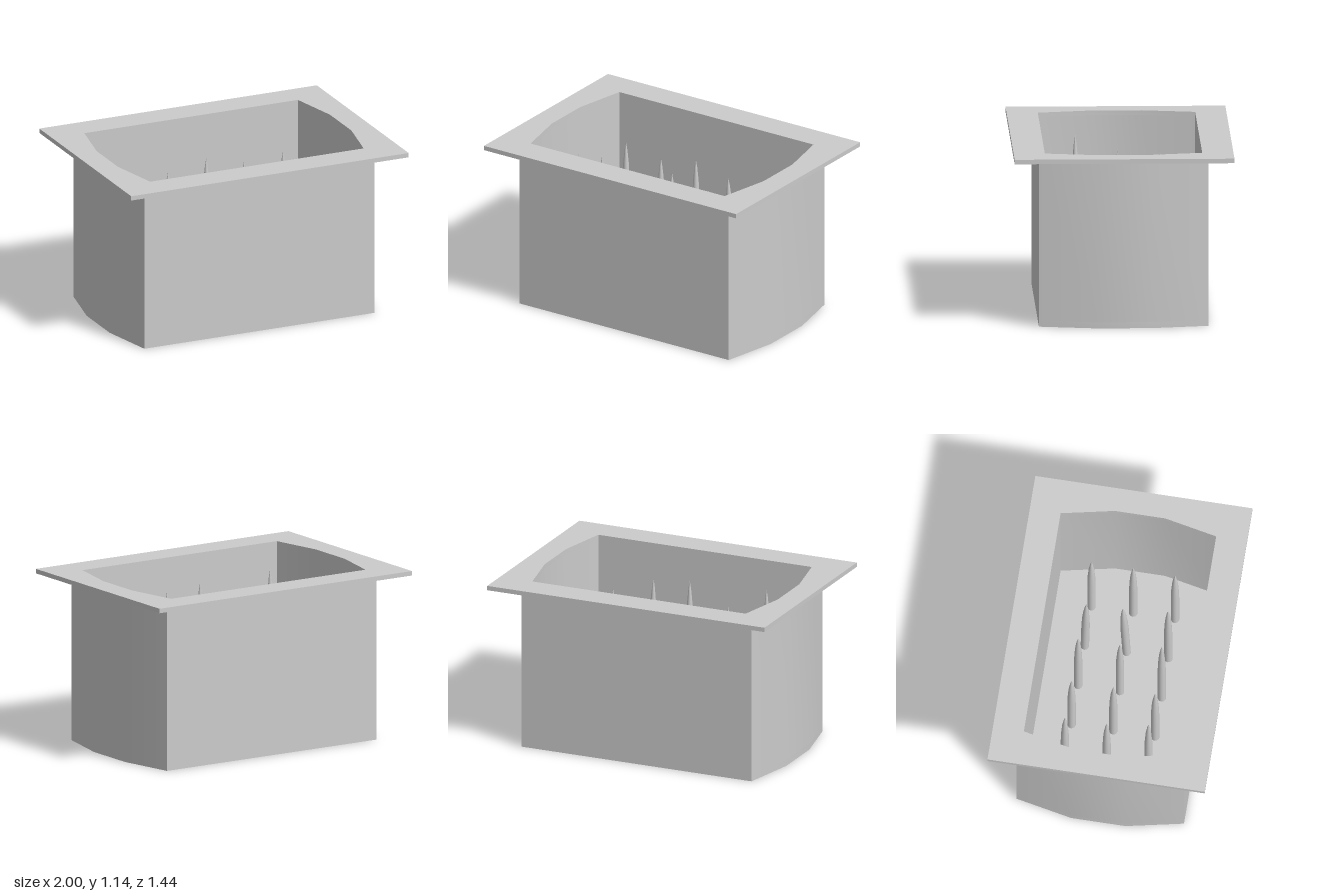
import * as THREE from 'three';
import { toCreasedNormals } from 'three/addons/utils/BufferGeometryUtils.js';

const material = new THREE.MeshStandardMaterial({ color: 0xcccccc });
const FLOOR = 0.04, WALL_TOP = 1.11, RIM_TOP = 1.14, INNER = 0.927;

// Box outline with faceted, bowed ends
function outline(scale) {
  const pts = [[0.83, -0.556], [0.907, -0.18], [0.907, 0.18], [0.83, 0.556],
    [-0.83, 0.556], [-0.907, 0.18], [-0.907, -0.18], [-0.83, -0.556]];
  return pts.map(([x, z]) => new THREE.Vector2(x * scale, z * scale));
}

// Horizontal slab between two heights, with an optional opening
function slab(name, points, hole, y0, y1) {
  const shape = new THREE.Shape(points);
  if (hole) shape.holes.push(new THREE.Path(hole));
  const geo = new THREE.ExtrudeGeometry(shape, { depth: y1 - y0, bevelEnabled: false });
  geo.rotateX(-Math.PI / 2).translate(0, y0, 0);
  const mesh = new THREE.Mesh(toCreasedNormals(geo, 0.5), material);
  mesh.name = name;
  return mesh;
}

// Slender pointed spike of unit height
function spikeGeometry() {
  const profile = [[0.028, 0], [0.028, 0.5], [0.025, 0.68], [0.018, 0.84], [0.009, 0.94], [0, 1]];
  return new THREE.LatheGeometry(profile.map(([r, y]) => new THREE.Vector2(r, y)), 12);
}

export function createModel() {
  const model = new THREE.Group();
  model.name = 'spikePit';

  const rim = [[1, -0.72], [1, 0.72], [-1, 0.72], [-1, -0.72]].map(([x, z]) => new THREE.Vector2(x, z));
  model.add(
    slab('floor', outline(1), null, 0, FLOOR),
    slab('walls', outline(1), outline(INNER), FLOOR, WALL_TOP),
    slab('rim', rim, outline(INNER), WALL_TOP, RIM_TOP),
  );

  // Rows of spikes from back to front: tip heights, left to right
  const tips = [
    [0.92, 0.87, 0.93, 0.87, 0.9],
    [0.925, 0.865, 0.935, 0.875, 0.9],
    [1.03, 0.865, 1.01, 0.985, 0.875],
  ];
  // Sideways drift of the tips in the one leaning column
  const lean = [[-0.012, 0.012], [-0.004, -0.024], [-0.016, 0]];
  const geo = spikeGeometry();
  const spikes = new THREE.Group();
  spikes.name = 'spikes';
  tips.forEach((row, r) => row.forEach((tip, c) => {
    const spike = new THREE.Mesh(geo, material);
    const height = tip - FLOOR;
    spike.name = 'spike';
    spike.position.set((c - 2) * 0.277, FLOOR, (r - 1) * 0.277);
    spike.scale.y = height;
    if (c === 3) {
      const axis = new THREE.Vector3(lean[r][0], height, lean[r][1]).normalize();
      spike.quaternion.setFromUnitVectors(new THREE.Vector3(0, 1, 0), axis);
    }
    spikes.add(spike);
  }));
  model.add(spikes);
  return model;
}
